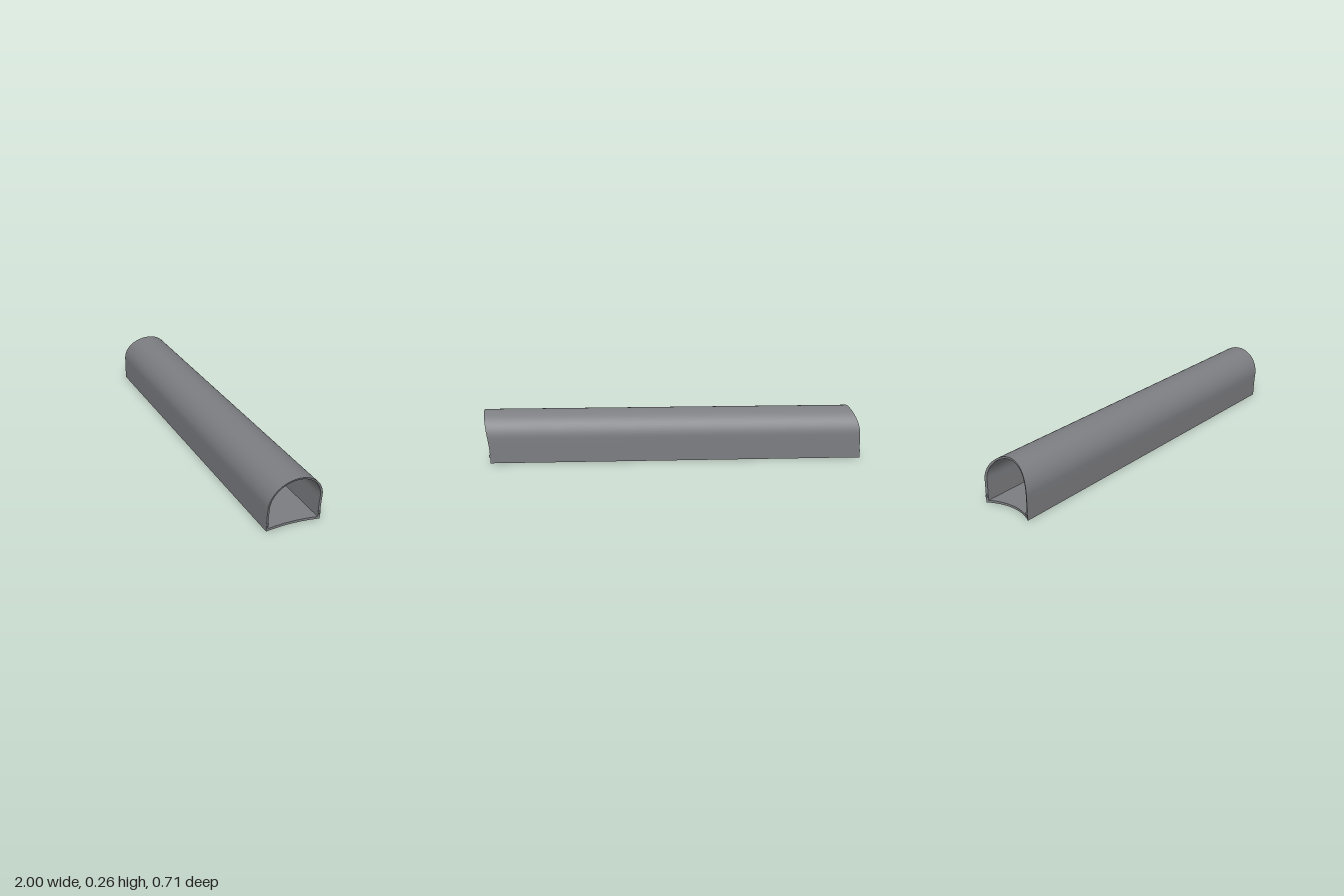
import * as THREE from 'three';
import { toCreasedNormals } from 'three/addons/utils/BufferGeometryUtils.js';

const SPRING = 0.126; // height where the walls turn into the vault

// Closed arch section as [across, height] points: floor, wall, vault, wall
function archSection(half, floorY) {
  const pts = [];
  const floorSteps = 20, arcSteps = 40, wallSteps = 4;
  for (let i = 0; i < floorSteps; i++) pts.push([-half + (2 * half * i) / floorSteps, floorY]);
  for (let i = 0; i < wallSteps; i++) pts.push([half, floorY + ((SPRING - floorY) * i) / wallSteps]);
  for (let i = 0; i < arcSteps; i++) {
    const a = (Math.PI * i) / arcSteps;
    pts.push([half * Math.cos(a), SPRING + half * Math.sin(a)]);
  }
  for (let i = 0; i < wallSteps; i++) pts.push([-half, SPRING + ((floorY - SPRING) * i) / wallSteps]);
  return pts;
}

// One end is scooped by an upright cylinder, the other by a dome
const cylinderEnd = (v) => -1.2 + Math.sqrt(0.26 ** 2 - v * v) + 0.251 - 0.2198 + 0.2198 - 0.261;
const scoopEnd = (v) => -0.99 + (Math.sqrt(0.26 ** 2 - v * v) - Math.sqrt(0.26 ** 2 - 0.139 ** 2));
const domeEnd = (v, y) => 0.962 + 0.7 - Math.sqrt(0.7 ** 2 - v * v - y * y);

function tunnelGeometry() {
  const outer = archSection(0.139, 0);
  const inner = archSection(0.129, 0.012);
  const n = outer.length;
  // Loop of rings: outside, far rim, inside, near rim
  const rings = [[outer, scoopEnd], [outer, domeEnd], [inner, domeEnd], [inner, scoopEnd]];
  const pos = [], index = [];
  for (const [section, end] of rings) {
    for (const [v, y] of section) pos.push(end(v, y), y, v);
  }
  for (let s = 0; s < 4; s++) {
    for (let i = 0; i < n; i++) {
      const j = (i + 1) % n, t = (s + 1) % 4;
      const a = s * n + i, b = t * n + i, c = t * n + j, d = s * n + j;
      index.push(a, b, d, b, c, d);
    }
  }
  const geo = new THREE.BufferGeometry();
  geo.setAttribute('position', new THREE.Float32BufferAttribute(pos, 3));
  geo.setIndex(index);
  return toCreasedNormals(geo, 0.6);
}

export function createModel() {
  const model = new THREE.Group();
  model.name = 'tunnel';
  const grey = new THREE.MeshStandardMaterial({ color: 0x7c7d81 });
  grey.name = 'grey';

  // Vaulted shell with floor
  const shell = new THREE.Mesh(tunnelGeometry(), grey);
  shell.name = 'tunnelShell';
  model.add(shell);

  // Small pegs on the rims at both ends
  const pegGeo = new THREE.BoxGeometry(0.012, 0.014, 0.008);
  for (const side of [-1, 1]) {
    for (const u of [scoopEnd(0.134), domeEnd(0.134, 0.037)]) {
      const peg = new THREE.Mesh(pegGeo, grey);
      peg.name = 'rimPeg';
      peg.position.set(u, 0.037, side * 0.134);
      model.add(peg);
    }
  }

  // The tunnel runs slightly askew
  model.rotation.y = -0.224;
  const root = new THREE.Group();
  root.name = 'tunnelModel';
  root.add(model);
  return root;
}
